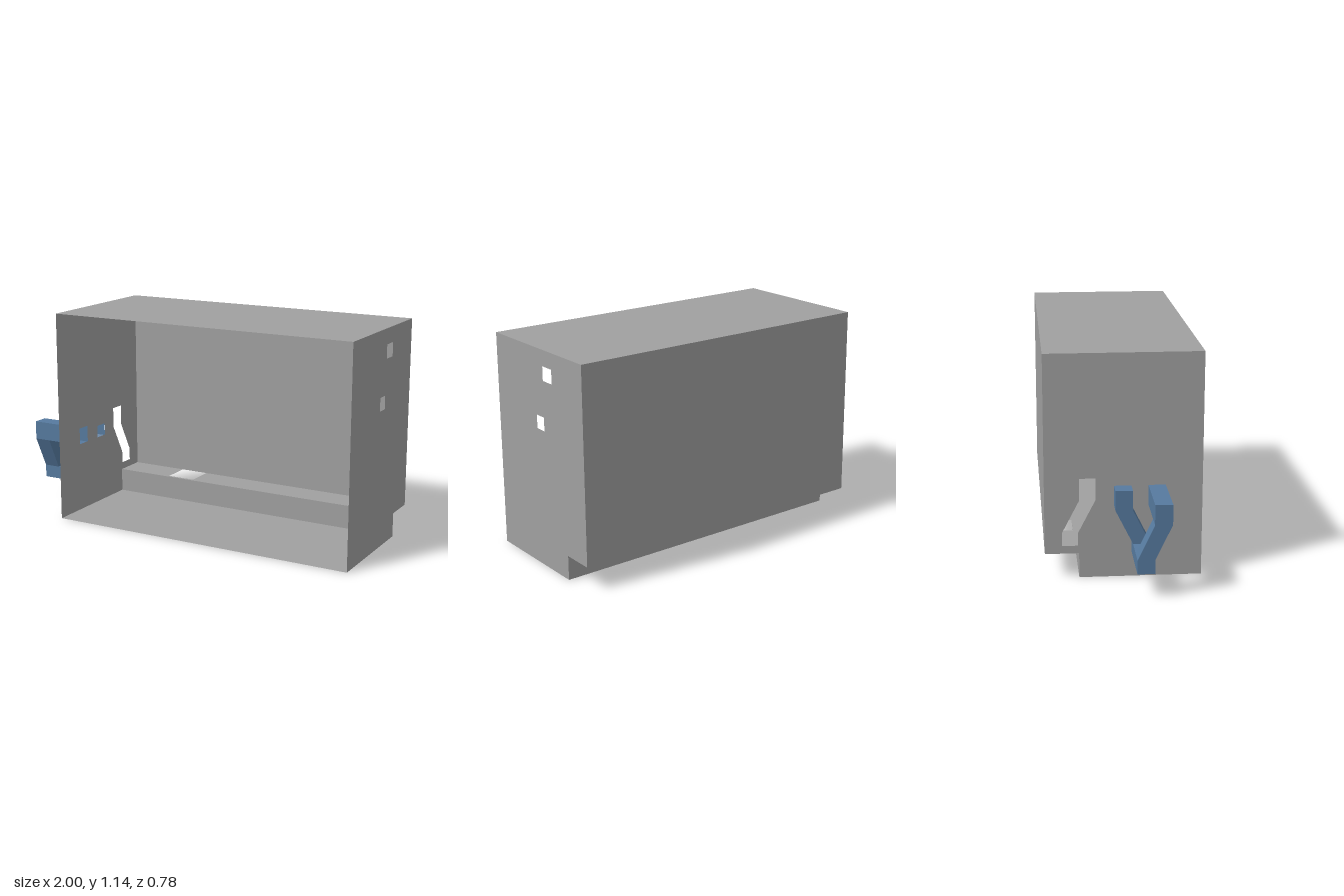
import * as THREE from 'three';
import { mergeGeometries } from 'three/addons/utils/BufferGeometryUtils.js';

const grey = new THREE.MeshStandardMaterial({ color: 0xa0a0a0, side: THREE.DoubleSide, flatShading: true });
const blue = new THREE.MeshStandardMaterial({ color: 0x567a9f, side: THREE.DoubleSide, flatShading: true });

// Main dimensions of the thin-walled case
const L = -0.703, R = 0.998, TOP = 1.14, F = 0.39, STEP_Z = -0.22, STEP_Y = 0.128;

const vecs = (pts) => pts.map(([z, y]) => new THREE.Vector2(z, y));
const rect = (z0, z1, y0, y1) => [[z0, y0], [z1, y0], [z1, y1], [z0, y1]];

// Zigzag outline: an upright top, a slanted middle and an upright foot
const zigzag = (topZ, footZ, w, [y0, y1, y2, y3]) => [
  [footZ, y0], [footZ + w, y0], [footZ + w, y1], [topZ + w, y2],
  [topZ + w, y3], [topZ, y3], [topZ, y2], [footZ, y1],
];

// Flat sheet in the z-y plane at a given x, with optional openings
function sheet(pts, x, holes = []) {
  const shape = new THREE.Shape(vecs(pts));
  shape.holes = holes.map((h) => new THREE.Path(vecs(h)));
  return new THREE.ShapeGeometry(shape).rotateY(-Math.PI / 2).translate(x, 0, 0);
}

// One panel per profile segment, spanning x0 to x1
function sweep(pts, x0, x1, closed = true) {
  const panels = [];
  const count = closed ? pts.length : pts.length - 1;
  for (let i = 0; i < count; i++) {
    const [za, ya] = pts[i];
    const [zb, yb] = pts[(i + 1) % pts.length];
    const g = new THREE.PlaneGeometry(1, 1);
    g.attributes.position.array.set([x0, ya, za, x1, ya, za, x0, yb, zb, x1, yb, zb]);
    g.computeVertexNormals();
    panels.push(g);
  }
  return mergeGeometries(panels);
}

export function createModel() {
  const model = new THREE.Group();
  const add = (parent, name, geometries, material) => {
    const mesh = new THREE.Mesh(mergeGeometries(geometries), material);
    mesh.name = name;
    parent.add(mesh);
  };

  // Open-fronted case with a step along the lower back
  const caseGroup = new THREE.Group();
  caseGroup.name = 'case';
  model.add(caseGroup);
  const outline = [[F, 0], [F, TOP], [-F, TOP], [-F, STEP_Y], [STEP_Z, STEP_Y], [STEP_Z, 0]];

  add(caseGroup, 'roofAndBack', [sweep([[F, TOP], [-F, TOP], [-F, STEP_Y]], L, R, false)], grey);
  add(caseGroup, 'floorAndRiser', [sweep([[STEP_Z, STEP_Y], [STEP_Z, 0], [F, 0]], L, R, false)], grey);

  // Shelf over the step, with a square opening at the back
  const shelf = (z, x0, x1) => sweep([[z, STEP_Y], [STEP_Z, STEP_Y]], x0, x1, false);
  add(caseGroup, 'shelf', [shelf(-F, L, -0.385), shelf(-0.235, -0.385, -0.225), shelf(-F, -0.225, R)], grey);

  // Left wall with two small windows
  add(caseGroup, 'leftWall', [sheet(outline, R, [
    rect(-0.127, -0.047, 0.985, 1.058),
    rect(-0.043, 0.022, 0.728, 0.798),
  ])], grey);

  // Right wall with the zigzag slot and the duct inlets
  add(caseGroup, 'rightWall', [sheet(outline, L, [
    zigzag(-0.218, -0.305, 0.08, [0.168, 0.235, 0.404, 0.515]),
    rect(0.124, 0.2, 0.378, 0.468),
    rect(-0.048, 0.026, 0.378, 0.445),
  ])], grey);

  // Hollow duct beside the right wall
  const duct = new THREE.Group();
  duct.name = 'duct';
  model.add(duct);
  const levels = [0.13, 0.2, 0.375, 0.475];
  const outer = zigzag(0.122, 0.04, 0.085, levels);
  const inner = zigzag(-0.047, 0.04, 0.085, levels);

  add(duct, 'outerColumn', [sweep(outer, -1, -0.91), sheet(outer, -1), sheet(outer, -0.91)], blue);
  add(duct, 'innerColumn', [sweep(inner, -0.785, L), sheet(inner, -0.785)], blue);
  add(duct, 'upperArm', [sweep(rect(0.122, 0.207, 0.375, 0.475), -0.91, L)], blue);
  add(duct, 'lowerArm', [sweep(rect(0.04, 0.125, 0.13, 0.2), -0.91, -0.785)], blue);

  return model;
}
